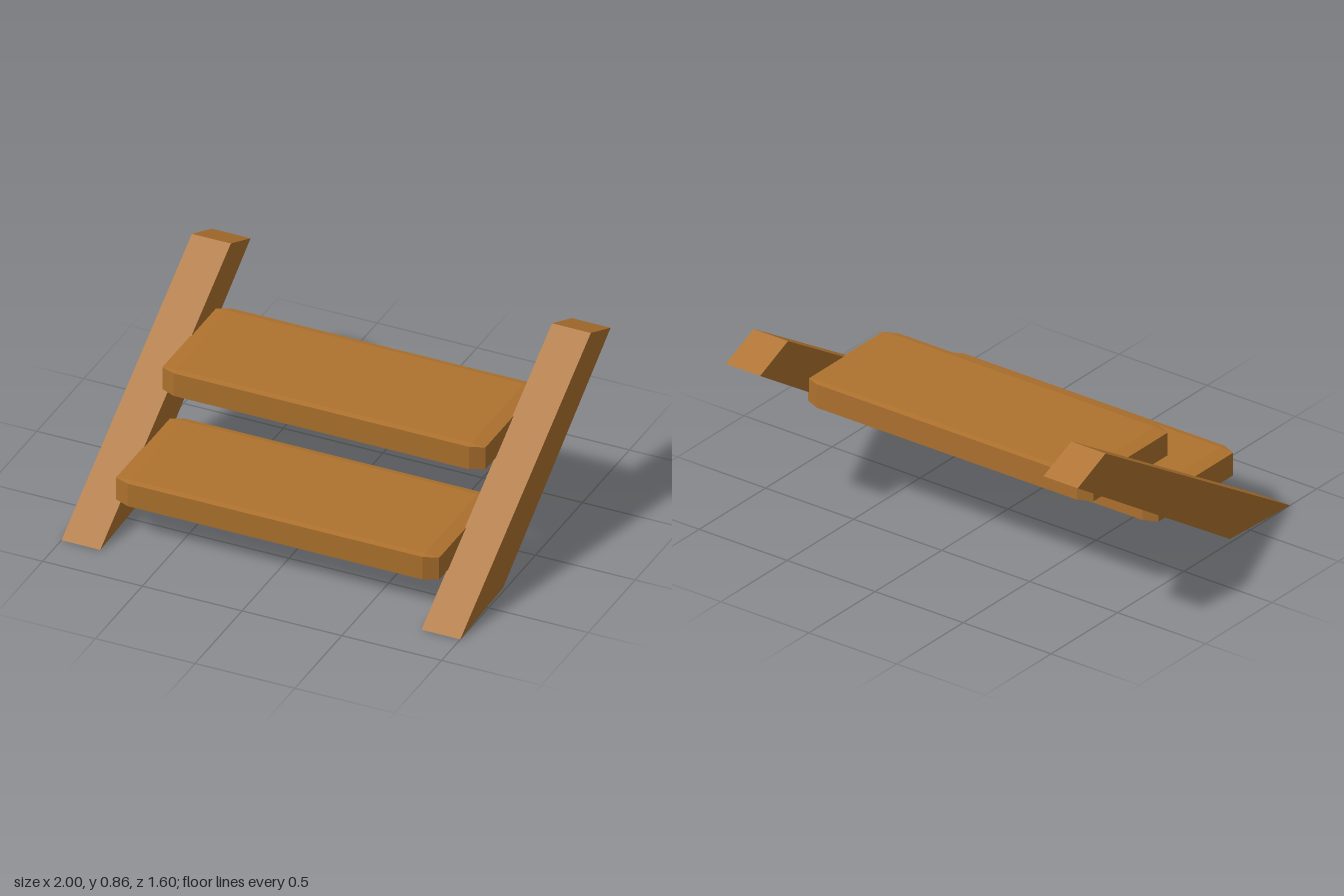
import * as THREE from 'three';
import { ConvexGeometry } from 'three/addons/geometries/ConvexGeometry.js';

export function createModel() {
  const group = new THREE.Group();
  group.name = 'steps';
  const wood = new THREE.MeshStandardMaterial({ color: 0xae722e });
  wood.name = 'warm wood';

  // Slanted side rails: profile drawn as (-z, y), extruded along x
  const profile = new THREE.Shape(
    [[-0.8, 0], [-0.345, 0.02], [0.8, 0.765], [0.59, 0.855]].map(([a, y]) => new THREE.Vector2(a, y))
  );
  const railWidth = 0.195;
  const railGeometry = new THREE.ExtrudeGeometry(profile, { depth: railWidth, bevelEnabled: false });
  railGeometry.rotateY(Math.PI / 2);
  for (const [name, x] of [['leftRail', 1 - railWidth], ['rightRail', -1]]) {
    const rail = new THREE.Mesh(railGeometry, wood);
    rail.name = name;
    rail.position.x = x;
    group.add(rail);
  }

  // Treads: clipped corners, faces falling slightly towards the rim
  const points = [];
  for (const sx of [-1, 1]) for (const sz of [-1, 1]) for (const sy of [-1, 1]) {
    points.push(
      new THREE.Vector3(sx * 0.74, sy * 0.065, sz * 0.28),
      new THREE.Vector3(sx * 0.74, sy * 0.06, sz * 0.309),
      new THREE.Vector3(sx * 0.81, sy * 0.058, sz * 0.28)
    );
  }
  const treadGeometry = new ConvexGeometry(points);
  for (const [name, y, z] of [['lowerTread', 0.227, 0.341], ['upperTread', 0.539, -0.151]]) {
    const tread = new THREE.Mesh(treadGeometry, wood);
    tread.name = name;
    tread.position.set(0, y, z);
    group.add(tread);
  }
  return group;
}
